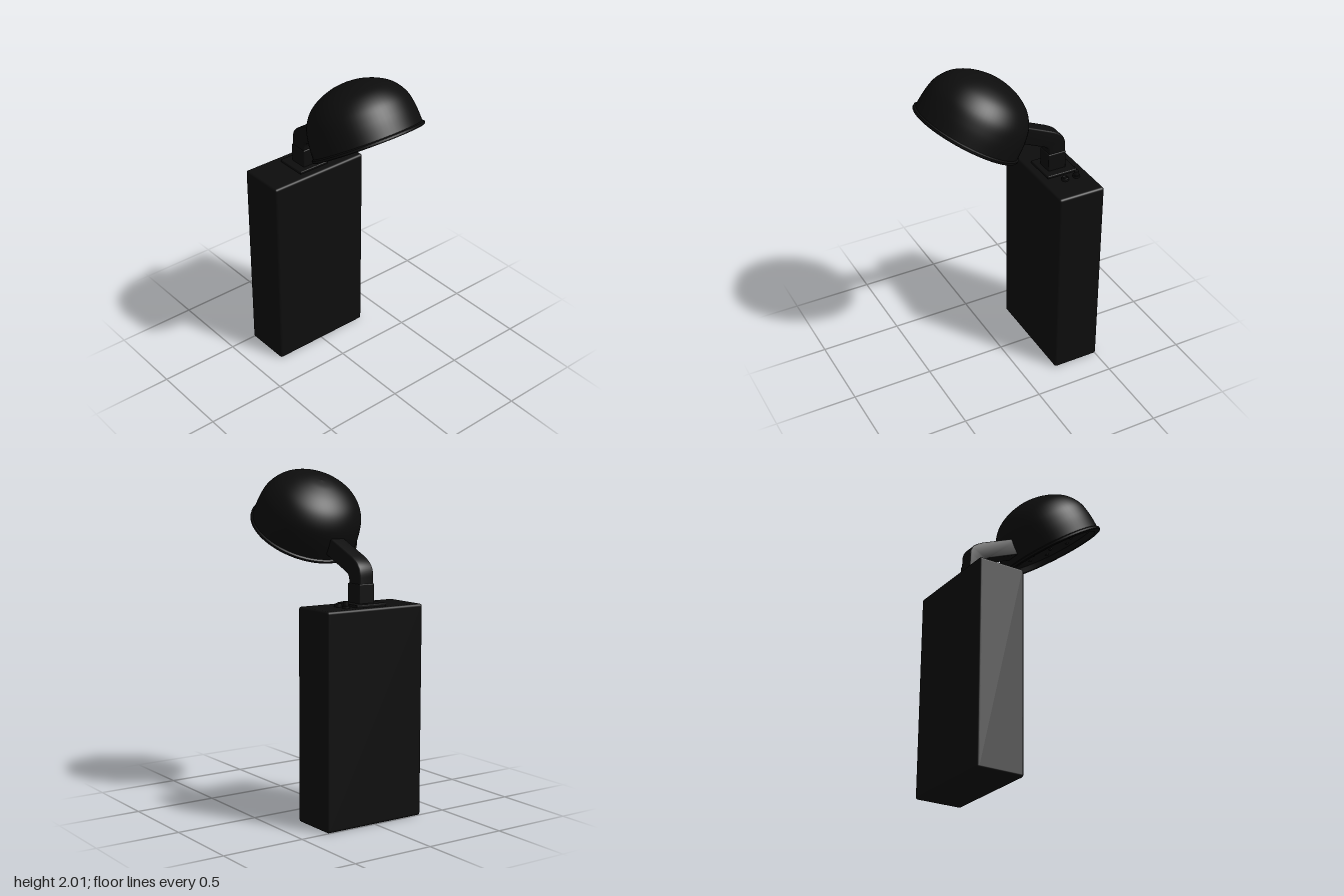
import * as THREE from 'three';
import { RoundedBoxGeometry } from 'three/addons/geometries/RoundedBoxGeometry.js';
import { toCreasedNormals } from 'three/addons/utils/BufferGeometryUtils.js';

const black = new THREE.MeshStandardMaterial({ color: 0x0d0d0d });

function part(name, geometry, parent, x = 0, y = 0, z = 0) {
  const mesh = new THREE.Mesh(geometry, black);
  mesh.name = name;
  mesh.position.set(x, y, z);
  parent.add(mesh);
  return mesh;
}

const vectors = (pairs) => pairs.map(([x, y]) => new THREE.Vector2(x, y));

// Bent arm: side profile in (z, y), extruded across x with softened edges
function armGeometry() {
  const s = new THREE.Shape();
  s.moveTo(-0.397, 1.26);
  s.lineTo(-0.397, 1.41);
  s.bezierCurveTo(-0.397, 1.47, -0.37, 1.49, -0.315, 1.518);
  s.lineTo(-0.05, 1.632);
  s.lineTo(-0.015, 1.55);
  s.lineTo(-0.265, 1.443);
  s.bezierCurveTo(-0.295, 1.43, -0.307, 1.415, -0.307, 1.37);
  s.lineTo(-0.307, 1.26);
  s.closePath();
  const g = new THREE.ExtrudeGeometry(s, {
    depth: 0.08, curveSegments: 12, bevelEnabled: true,
    bevelSize: 0.008, bevelThickness: 0.008, bevelSegments: 3,
  });
  g.translate(0, 0, -0.04);
  g.rotateY(-Math.PI / 2);
  return toCreasedNormals(g, 0.6);
}

function createHead() {
  const head = new THREE.Group();
  head.name = 'lampHead';
  head.position.set(0.002, 1.638, 0.225);
  head.rotation.x = -0.565;

  // Domed shade
  const dome = new THREE.SplineCurve(vectors([
    [0.322, 0.02], [0.316, 0.115], [0.296, 0.2], [0.245, 0.274],
    [0.17, 0.324], [0.08, 0.354], [0, 0.362],
  ])).getPoints(36);
  dome[dome.length - 1].x = 0;
  part('shade', new THREE.LatheGeometry(dome, 64), head);

  // Rim lip with a recessed inner wall
  const rim = vectors([
    [0.282, 0.035], [0.292, 0], [0.328, 0], [0.332, 0.004], [0.332, 0.016], [0.32, 0.024],
  ]);
  part('rim', toCreasedNormals(new THREE.LatheGeometry(rim, 64), 0.6), head);

  // Light panel facing down with a ring of small diodes
  const panel = new THREE.CircleGeometry(0.285, 64);
  panel.rotateX(Math.PI / 2);
  part('lightPanel', panel, head, 0, 0.033, 0);
  const diode = new THREE.SphereGeometry(0.012, 12, 8);
  part('diode', diode, head, 0, 0.033, 0);
  for (let i = 0; i < 6; i++) {
    const a = (i * Math.PI) / 3;
    part('diode', diode, head, 0.15 * Math.sin(a), 0.033, 0.15 * Math.cos(a));
  }
  return head;
}

export function createModel() {
  const model = new THREE.Group();
  model.name = 'lamp';

  // Box body
  part('body', new RoundedBoxGeometry(0.66, 1.25, 0.296, 3, 0.015), model, 0, 0.625, -0.357);

  // Mounting plate and arm with its collar
  part('mountingPlate', new RoundedBoxGeometry(0.205, 0.03, 0.195, 2, 0.005), model, -0.005, 1.25, -0.357);
  part('collar', new RoundedBoxGeometry(0.104, 0.13, 0.116, 2, 0.006), model, -0.005, 1.31, -0.35);
  part('arm', armGeometry(), model, -0.005, 0, 0);

  // Push button and socket beside the arm
  for (const z of [-0.42, -0.345]) {
    part('washer', new THREE.CylinderGeometry(0.022, 0.022, 0.016, 24), model, 0.15, 1.256, z);
  }
  part('button', new THREE.CylinderGeometry(0.015, 0.015, 0.04, 24), model, 0.15, 1.27, -0.42);
  part('socket', new THREE.TorusGeometry(0.016, 0.005, 8, 24).rotateX(Math.PI / 2), model, 0.15, 1.264, -0.345);

  model.add(createHead());
  return model;
}
